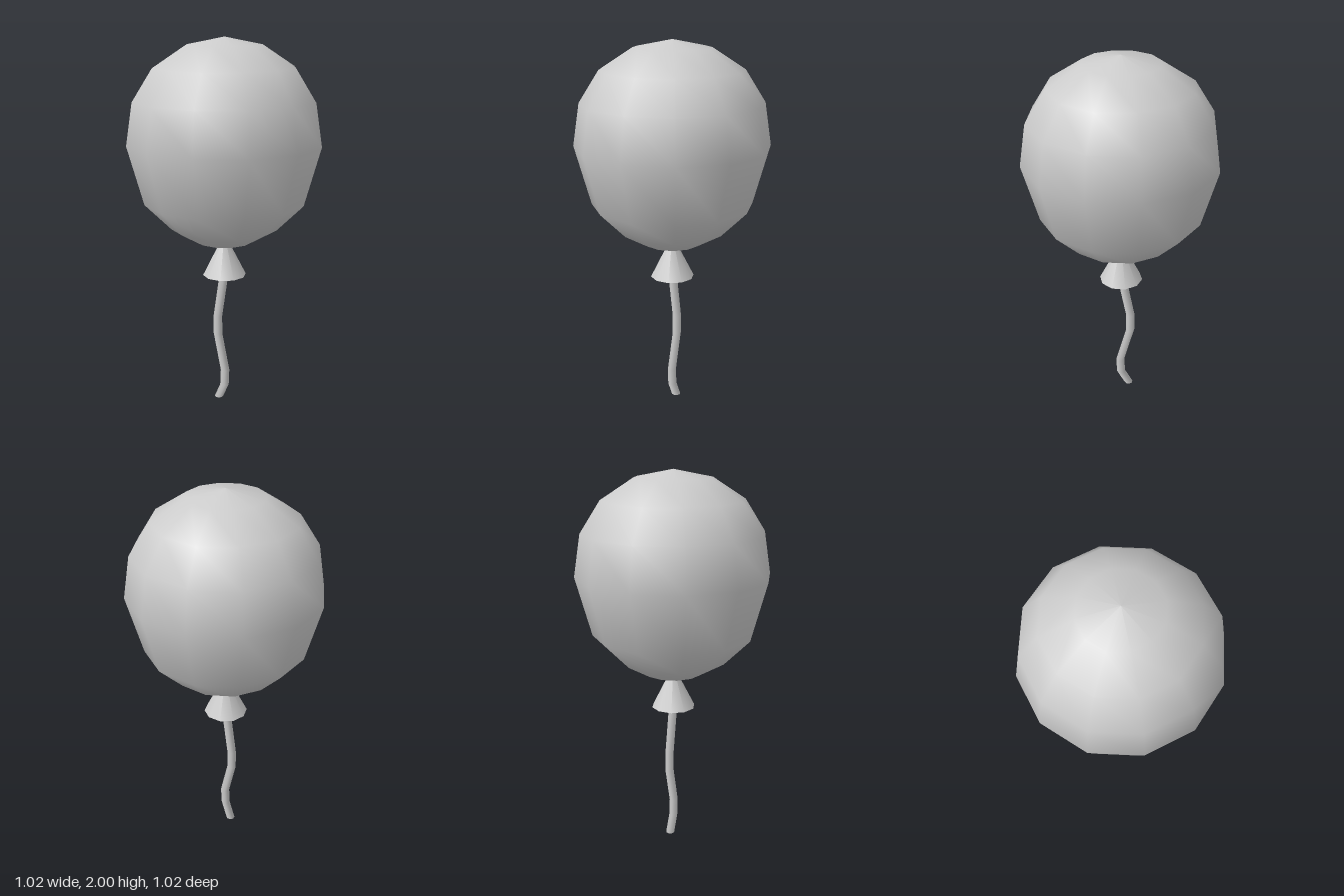
import * as THREE from 'three';

const material = new THREE.MeshStandardMaterial({ color: 0xcccccc });

function addPart(group, name, geometry) {
  const mesh = new THREE.Mesh(geometry, material);
  mesh.name = name;
  group.add(mesh);
  return mesh;
}

// Inflated body: a 12-sided egg, narrower towards the bottom
function balloonGeometry() {
  const profile = [
    [0, 0.91], [0.155, 0.94], [0.285, 1.015], [0.425, 1.155], [0.51, 1.465],
    [0.475, 1.685], [0.37, 1.85], [0.2, 1.96], [0, 2],
  ].map(([r, y]) => new THREE.Vector2(r, y));
  return new THREE.LatheGeometry(profile, 12);
}

// Wavy string: a thin cylinder whose level rings follow a bent path
function stringGeometry() {
  const path = [
    [-0.003, 0.75], [-0.053, 0.49], [-0.053, 0.385],
    [0.005, 0.18], [0, 0.09], [-0.045, 0],
  ];
  const steps = path.length - 1;
  const geometry = new THREE.CylinderGeometry(0.024, 0.024, 1, 8, steps);
  const pos = geometry.attributes.position;
  for (let i = 0; i < pos.count; i++) {
    const [x, y] = path[Math.round((0.5 - pos.getY(i)) * steps)];
    pos.setX(i, pos.getX(i) + x);
    pos.setY(i, y);
  }
  return geometry;
}

export function createModel() {
  const group = new THREE.Group();
  group.name = 'balloon';

  addPart(group, 'balloonBody', balloonGeometry());

  // Flared neck, its tip hidden inside the body
  const neck = addPart(group, 'neck', new THREE.ConeGeometry(0.1165, 0.23, 10));
  neck.position.y = 0.745 + 0.115;

  addPart(group, 'string', stringGeometry());
  return group;
}
